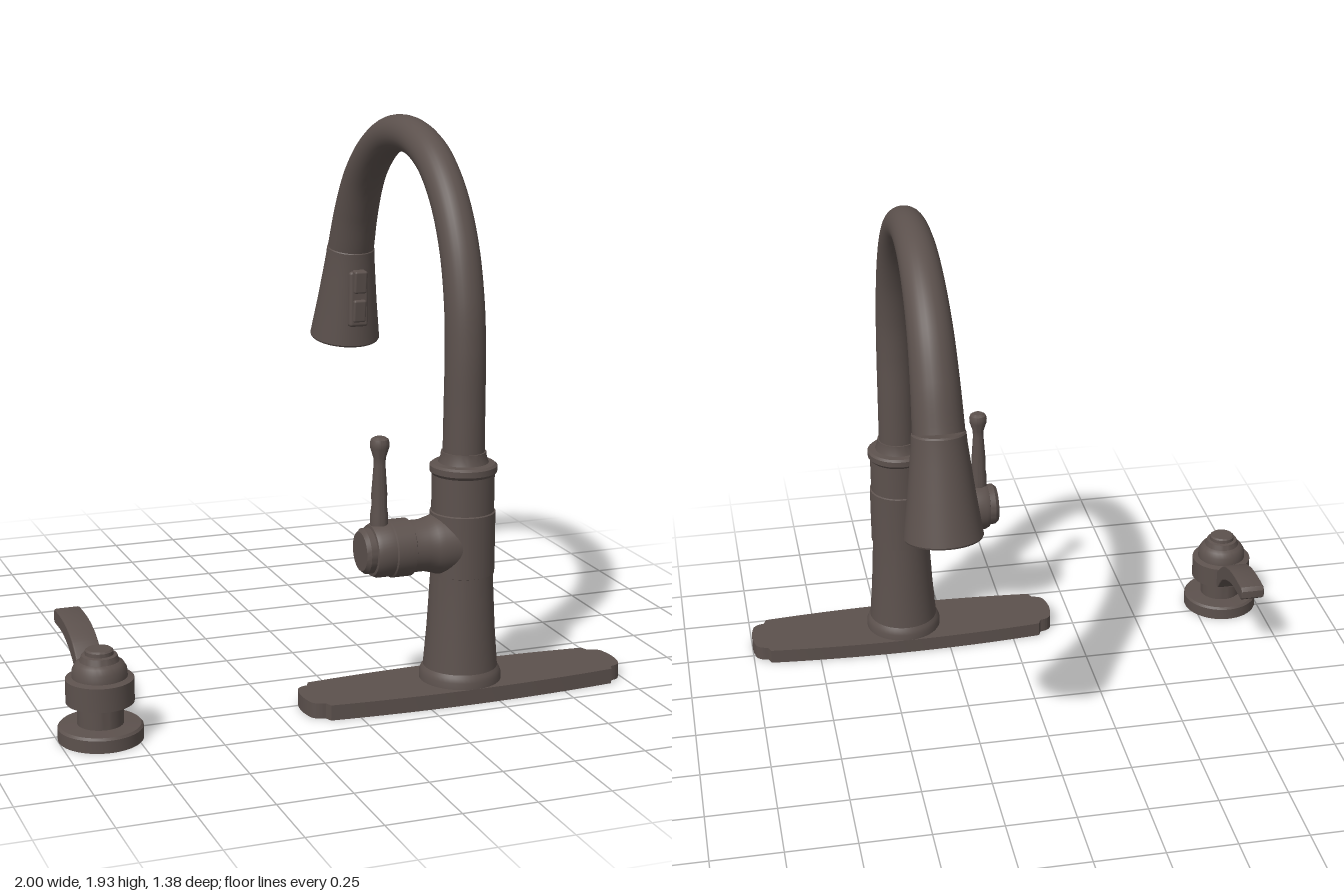
import * as THREE from 'three';
import { toCreasedNormals } from 'three/addons/utils/BufferGeometryUtils.js';
import { RoundedBoxGeometry } from 'three/addons/geometries/RoundedBoxGeometry.js';

const bronze = new THREE.MeshStandardMaterial({ color: 0x5c514d });
const X = 0.412, Z = 0.552; // faucet column axis

function add(parent, name, geometry, x = 0, y = 0, z = 0) {
  const mesh = new THREE.Mesh(geometry, bronze);
  mesh.name = name;
  mesh.position.set(x, y, z);
  parent.add(mesh);
  return mesh;
}

// Turned part from [radius, height] pairs listed bottom to top
function turned(profile, segments = 48) {
  const pts = profile.map(([r, y]) => new THREE.Vector2(r, y));
  return toCreasedNormals(new THREE.LatheGeometry(pts, segments), 0.5);
}

// Long deck plate: bowed sides, notched corners
function deckPlate() {
  const s = new THREE.Shape();
  s.moveTo(0.52, 0.115);
  s.quadraticCurveTo(0, 0.165, -0.52, 0.115);
  s.lineTo(-0.53, 0.09);
  s.quadraticCurveTo(-0.57, 0.085, -0.575, 0.055);
  s.quadraticCurveTo(-0.59, 0, -0.575, -0.055);
  s.quadraticCurveTo(-0.57, -0.085, -0.53, -0.09);
  s.lineTo(-0.52, -0.115);
  s.quadraticCurveTo(0, -0.165, 0.52, -0.115);
  s.lineTo(0.53, -0.09);
  s.quadraticCurveTo(0.57, -0.085, 0.575, -0.055);
  s.quadraticCurveTo(0.59, 0, 0.575, 0.055);
  s.quadraticCurveTo(0.57, 0.085, 0.53, 0.09);
  const g = new THREE.ExtrudeGeometry(s, { depth: 0.053, bevelEnabled: false, curveSegments: 16 });
  g.rotateX(-Math.PI / 2);
  return toCreasedNormals(g, 0.5);
}

// Gooseneck tube whose radius changes along its length
function gooseneck() {
  const path = new THREE.CatmullRomCurve3([
    [0.552, 0.8], [0.552, 1.0], [0.551, 1.2], [0.535, 1.36], [0.487, 1.53], [0.4, 1.68],
    [0.28, 1.79], [0.15, 1.845], [0.02, 1.861], [-0.12, 1.84], [-0.25, 1.775],
    [-0.365, 1.67], [-0.446, 1.53], [-0.5, 1.385],
  ].map(([z, y]) => new THREE.Vector3(X, y, z)));
  const n = 80, radial = 28;
  const g = new THREE.TubeGeometry(path, n, 1, radial);
  const pos = g.attributes.position, v = new THREE.Vector3();
  for (let i = 0; i <= n; i++) {
    const t = i / n, c = path.getPointAt(t);
    const r = t < 0.6 ? 0.071 - 0.013 * t : 0.0632 + 0.023 * Math.pow((t - 0.6) / 0.4, 1.3);
    for (let j = 0; j <= radial; j++) {
      const k = i * (radial + 1) + j;
      v.fromBufferAttribute(pos, k).sub(c).multiplyScalar(r).add(c);
      pos.setXYZ(k, v.x, v.y, v.z);
    }
  }
  return g;
}

// Curved dispenser spout, extruded across its width
function dispenserSpout() {
  const s = new THREE.Shape();
  s.moveTo(0.48, 0.13);
  s.lineTo(0.48, 0.18);
  s.lineTo(0.435, 0.208);
  s.splineThru([[0.364, 0.268], [0.287, 0.296], [0.21, 0.306], [0.13, 0.306]].map(p => new THREE.Vector2(...p)));
  s.lineTo(0.118, 0.296);
  s.lineTo(0.118, 0.272);
  s.lineTo(0.13, 0.262);
  s.splineThru([[0.21, 0.262], [0.277, 0.25], [0.34, 0.225], [0.39, 0.193], [0.435, 0.14]].map(p => new THREE.Vector2(...p)));
  const g = new THREE.ExtrudeGeometry(s, { depth: 0.076, bevelSize: 0.004, bevelThickness: 0.006, bevelSegments: 2, curveSegments: 16 });
  g.translate(0, 0, -0.038);
  g.rotateY(-Math.PI / 2);
  return toCreasedNormals(g, 0.5);
}

export function createModel() {
  const model = new THREE.Group();
  model.name = 'kitchenFaucetSet';

  // Faucet base and column
  const faucet = new THREE.Group();
  faucet.name = 'faucet';
  model.add(faucet);
  add(faucet, 'deckPlate', deckPlate(), 0.417, 0, Z);
  add(faucet, 'column', turned([
    [0, 0.04], [0.14, 0.04], [0.14, 0.075], [0.134, 0.09], [0.127, 0.1], [0.116, 0.24], [0.106, 0.43],
    [0.111, 0.432], [0.111, 0.645], [0.106, 0.648], [0.106, 0.775], [0.114, 0.785], [0.114, 0.805],
    [0.106, 0.812], [0.085, 0.815], [0.078, 0.835], [0.076, 0.852], [0, 0.852],
  ]), X, 0, Z);
  add(faucet, 'gooseneck', gooseneck());

  // Side valve and lever
  const valve = turned([
    [0, 0], [0.103, 0], [0.103, 0.1], [0.096, 0.12], [0.088, 0.15], [0.088, 0.198], [0.098, 0.203],
    [0.098, 0.268], [0.093, 0.272], [0.093, 0.32], [0.086, 0.335], [0.077, 0.337], [0.077, 0.358],
    [0.066, 0.371], [0, 0.371],
  ]);
  add(faucet, 'sideValve', valve.rotateZ(Math.PI / 2), X, 0.537, Z);
  add(faucet, 'lever', turned([
    [0, 0.6], [0.03, 0.6], [0.03, 0.66], [0.026, 0.69], [0.027, 0.73], [0.02, 0.83], [0.021, 0.855],
    [0.032, 0.89], [0.033, 0.905], [0.029, 0.918], [0.018, 0.925], [0, 0.925],
  ], 24), 0.108, 0, Z);

  // Spray head, tilted along the end of the neck
  const head = new THREE.Group();
  head.name = 'sprayHead';
  head.position.set(X, 1.035, -0.56);
  head.rotation.x = 0.17;
  faucet.add(head);
  add(head, 'headShell', turned([
    [0, 0.025], [0.108, 0.025], [0.115, 0], [0.128, 0], [0.131, 0.006], [0.125, 0.05], [0.111, 0.15],
    [0.099, 0.25], [0.091, 0.32], [0.089, 0.352], [0.084, 0.358], [0, 0.358],
  ]));
  add(head, 'aerator', new THREE.CylinderGeometry(0.04, 0.04, 0.02, 24), 0, 0.02, 0);
  for (let i = 0; i < 12; i++) {
    const a = i * Math.PI / 6;
    add(head, 'nozzle', new THREE.CylinderGeometry(0.008, 0.006, 0.014, 8), 0.078 * Math.cos(a), 0.02, 0.078 * Math.sin(a));
  }

  // Spray buttons on the side facing the column
  add(faucet, 'buttonPlate', new RoundedBoxGeometry(0.075, 0.21, 0.06, 2, 0.012), X, 1.2, -0.438);
  const upper = add(faucet, 'upperButton', new RoundedBoxGeometry(0.05, 0.085, 0.04, 2, 0.008), X, 1.267, -0.41);
  const lower = add(faucet, 'lowerButton', new RoundedBoxGeometry(0.05, 0.085, 0.04, 2, 0.008), X, 1.157, -0.418);
  upper.rotation.x = lower.rotation.x = 0.1;

  // Soap dispenser, hollow beneath its foot
  const dispenser = new THREE.Group();
  dispenser.name = 'soapDispenser';
  dispenser.position.x = -0.86;
  model.add(dispenser);
  add(dispenser, 'dispenserBody', turned([
    [0, 0.04], [0.06, 0.04], [0.115, 0], [0.14, 0], [0.14, 0.042], [0.133, 0.05], [0.076, 0.053],
    [0.076, 0.125], [0.112, 0.127], [0.112, 0.207], [0.091, 0.213], [0.089, 0.24], [0.078, 0.258],
    [0.065, 0.266], [0.058, 0.285], [0.047, 0.288], [0.046, 0.3], [0.04, 0.305], [0, 0.305],
  ]), 0, 0, Z);
  add(dispenser, 'dispenserSpout', dispenserSpout());

  return model;
}
